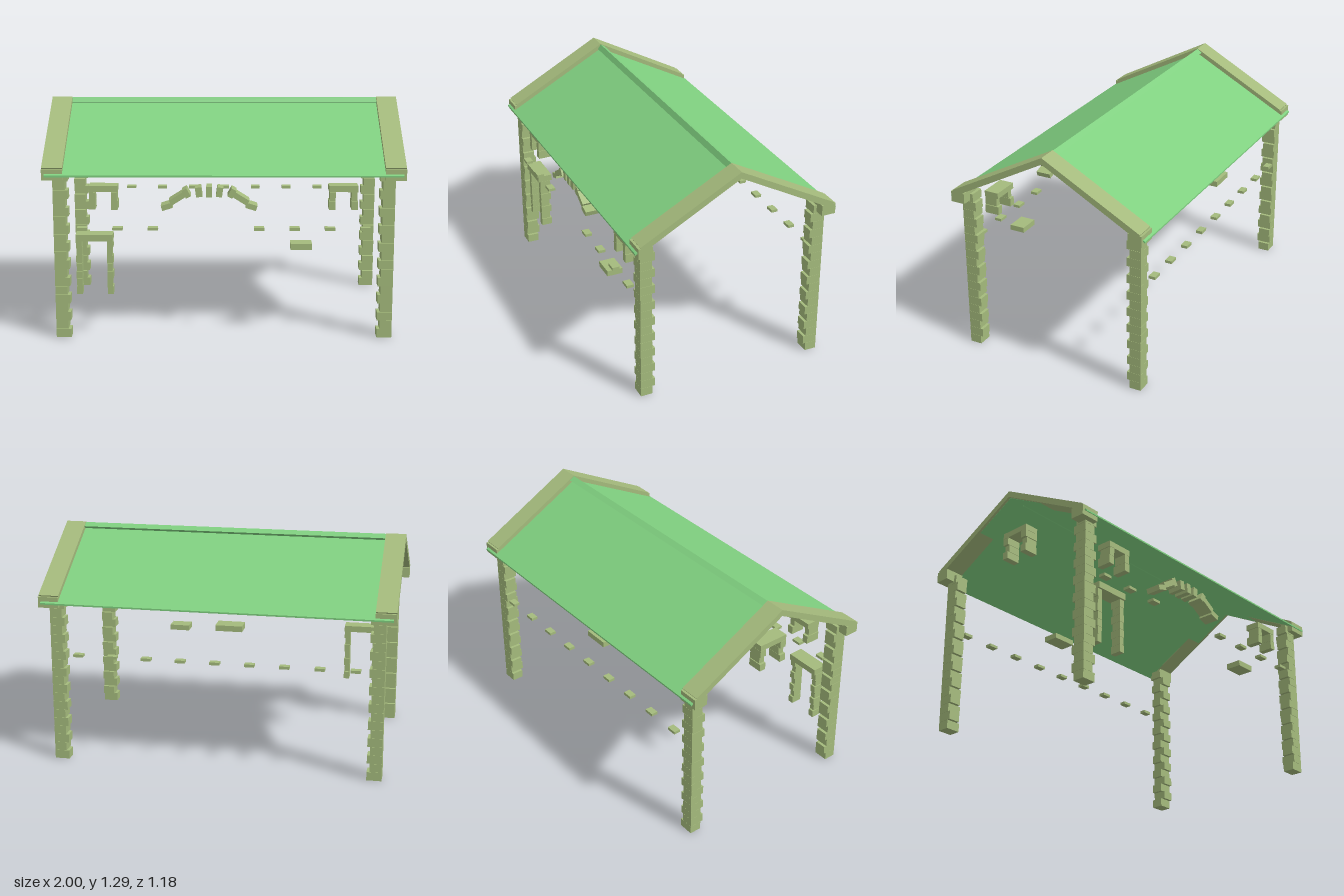
import * as THREE from 'three';

export function createModel() {
  const model = new THREE.Group();
  model.name = 'houseFrame';
  const stone = new THREE.MeshStandardMaterial({ color: 0xa4ba7c });
  stone.name = 'paleStone';
  const green = new THREE.MeshStandardMaterial({ color: 0x80d080 });
  green.name = 'greenRoof';

  const group = (name) => {
    const g = new THREE.Group();
    g.name = name;
    model.add(g);
    return g;
  };
  // Box given by its limits on each axis
  const block = (parent, name, x0, x1, y0, y1, z0, z1) => {
    const m = new THREE.Mesh(new THREE.BoxGeometry(Math.abs(x1 - x0), y1 - y0, Math.abs(z1 - z0)), stone);
    m.position.set((x0 + x1) / 2, (y0 + y1) / 2, (z0 + z1) / 2);
    m.name = name;
    parent.add(m);
    return m;
  };
  // Outline in (z, y), extruded along x
  const prism = (parent, name, pts, x0, x1, mat) => {
    const shape = new THREE.Shape(pts.map(([z, y]) => new THREE.Vector2(z, y)));
    const geo = new THREE.ExtrudeGeometry(shape, { depth: x1 - x0, bevelEnabled: false });
    geo.rotateY(-Math.PI / 2).translate(x1, 0, 0);
    const m = new THREE.Mesh(geo, mat);
    m.name = name;
    parent.add(m);
  };

  // Corner posts of alternating quoin stones
  const courses = 19, step = 0.95 / courses;
  for (const sx of [-1, 1]) for (const sz of [-1, 1]) {
    const post = group('cornerPost');
    for (let i = 0; i < courses; i++) {
      const wx = i % 2 ? 0.068 : 0.084, wz = i % 2 ? 0.084 : 0.068;
      block(post, 'quoin', sx * 0.944, sx * (0.944 - wx), i * step, (i + 1) * step - 0.001,
        sz * 0.548, sz * (0.548 - wz));
    }
  }

  // Roof slabs and ridge
  const roof = group('roof');
  prism(roof, 'roofSlabs', [[-0.592, 0.941], [-0.592, 0.932], [0, 1.248], [0.592, 0.932], [0.592, 0.941], [0, 1.258]],
    -0.985, 0.985, green);
  prism(roof, 'ridge', [[-0.03, 1.265], [0, 1.24], [0.018, 1.256], [0, 1.285]], -0.885, 0.885, green);

  // Gable copings with kneeler stones
  for (const x of [-1, 0.885]) {
    const gable = group('gableCoping');
    prism(gable, 'coping', [[-0.57, 0.98], [-0.553, 0.949], [0, 1.251], [0.553, 0.949], [0.57, 0.98], [0, 1.288]],
      x, x + 0.115, stone);
    for (const s of [-1, 1]) block(gable, 'kneeler', x, x + 0.115, 0.911, 0.973, s * 0.498, s * 0.58);
  }

  // String course blocks, interrupted by the arch on the front
  const stringCourse = group('stringCourse');
  for (let i = 0; i < 9; i++) {
    const x = -0.785 + i * 0.196;
    block(stringCourse, 'backBlock', x - 0.028, x + 0.028, 0.625, 0.641, -0.563, -0.525);
    if (i !== 3 && i !== 4) block(stringCourse, 'frontBlock', x - 0.028, x + 0.028, 0.625, 0.641, 0.525, 0.566);
  }

  // Surround of lintel and stacked jambs, built around x = 0
  const surround = (name, width, y0, yLintel, yTop, rows, jamb, depth) => {
    const g = group(name);
    block(g, 'lintel', -width / 2, width / 2, yLintel, yTop, -0.043, 0.043);
    const h = (yLintel - y0) / rows;
    for (const s of [-1, 1]) for (let i = 0; i < rows; i++) {
      const inset = i % 2 ? 0.004 : 0;
      block(g, 'jambStone', s * (width / 2 - inset), s * (width / 2 - jamb), y0 + i * h, y0 + (i + 1) * h - 0.001,
        (i % 2 ? -0.7 : -1) * depth, depth);
    }
    return g;
  };
  surround('doorSurround', 0.206, 0.25, 0.558, 0.595, 7, 0.033, 0.032).position.set(-0.722, 0, 0.498);
  surround('leftWindow', 0.16, 0.738, 0.838, 0.872, 2, 0.036, 0.043).position.set(-0.667, 0, 0.498);
  surround('rightWindow', 0.16, 0.738, 0.838, 0.872, 2, 0.036, 0.043).position.set(0.66, 0, 0.498);
  const gableWindow = surround('gableWindow', 0.18, 0.902, 1.033, 1.066, 3, 0.038, 0.043);
  gableWindow.position.set(-0.902, 0, 0.002);
  gableWindow.rotation.y = Math.PI / 2;

  // Sill on the front and slab on the back
  const slabs = group('slabs');
  block(slabs, 'frontSill', 0.37, 0.49, 0.511, 0.543, 0.455, 0.545);
  block(slabs, 'backSlab', -0.155, -0.005, 0.82, 0.852, -0.545, -0.45);

  // Shallow arch: offset from centre, y, width, height, tilt
  const arch = group('arch');
  const stones = [
    [0, 0.838, 0.032, 0.058, 0], [0.058, 0.837, 0.034, 0.054, -0.15], [0.126, 0.83, 0.03, 0.05, -0.5],
    [0.176, 0.8, 0.09, 0.032, -0.56], [0.234, 0.755, 0.06, 0.03, -0.3],
  ];
  for (const s of [-1, 1]) stones.forEach(([dx, y, w, h, tilt], i) => {
    if (i === 0 && s < 0) return;
    const m = block(arch, 'archStone', -w / 2, w / 2, y - h / 2, y + h / 2, 0.455, 0.545);
    m.position.x = -0.082 + s * dx;
    m.rotation.z = s * tilt;
  });

  return model;
}
